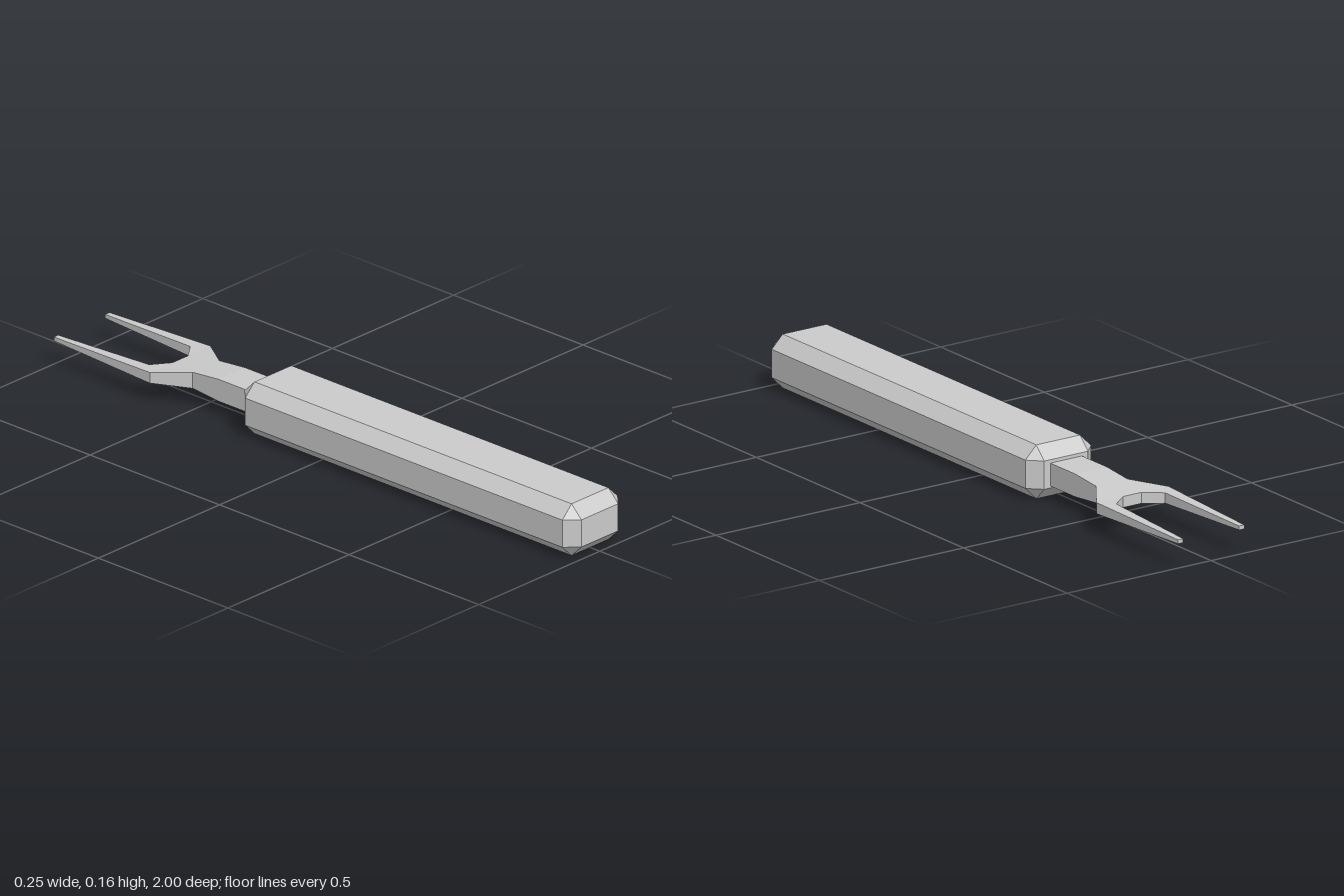
import * as THREE from 'three';
import { ConvexGeometry } from 'three/addons/geometries/ConvexGeometry.js';

const grey = new THREE.MeshStandardMaterial({ color: 0xcccccc, flatShading: true });

// Box with flat chamfers on every edge and triangular corners
function chamferedBox(hx, hy, hz, c) {
  const pts = [];
  for (const x of [-1, 1]) for (const y of [-1, 1]) for (const z of [-1, 1]) {
    pts.push(
      new THREE.Vector3(x * hx, y * (hy - c), z * (hz - c)),
      new THREE.Vector3(x * (hx - c), y * hy, z * (hz - c)),
      new THREE.Vector3(x * (hx - c), y * (hy - c), z * hz));
  }
  return new ConvexGeometry(pts);
}

// One half of the fork, lofted from neck to tip; side = 1 or -1
function forkHalf(side) {
  // z, inner x, outer x, half thickness
  const sections = [
    [-0.28, 0, 0.055, 0.034],
    [-0.42, 0, 0.055, 0.034],
    [-0.52, 0, 0.055, 0.025],
    [-0.62, 0, 0.125, 0.0165],
    [-0.62, 0.032, 0.125, 0.0165],
    [-0.66, 0.085, 0.124, 0.0155],
    [-1, 0.097, 0.115, 0.006],
  ];
  const midY = 0.078;
  const positions = [];
  const quad = (a, b, c, d) => {
    const order = side > 0 ? [a, b, c, a, c, d] : [a, c, b, a, d, c];
    for (const p of order) positions.push(...p);
  };
  // Corners: inner bottom, inner top, outer top, outer bottom
  const rings = sections.map(([z, xi, xo, h]) => [
    [side * xi, midY - h, z], [side * xi, midY + h, z],
    [side * xo, midY + h, z], [side * xo, midY - h, z],
  ]);
  for (let i = 0; i < rings.length - 1; i++) {
    const p = rings[i], q = rings[i + 1];
    const flatStep = sections[i][0] === sections[i + 1][0];
    if (!flatStep) {
      quad(p[1], p[2], q[2], q[1]); // top
      quad(q[0], q[3], p[3], p[0]); // bottom
      quad(p[3], q[3], q[2], p[2]); // outer wall
    }
    if (sections[i + 1][1] > 0) quad(p[0], p[1], q[1], q[0]); // inner wall
  }
  quad(...rings[rings.length - 1]); // tip
  const geo = new THREE.BufferGeometry();
  geo.setAttribute('position', new THREE.Float32BufferAttribute(positions, 3));
  geo.computeVertexNormals();
  return geo;
}

export function createModel() {
  const model = new THREE.Group();
  model.name = 'twoProngedFork';

  // Handle
  const handle = new THREE.Mesh(chamferedBox(0.114, 0.08, 0.65, 0.038), grey);
  handle.name = 'handle';
  handle.position.set(0, 0.08, 0.35);
  model.add(handle);

  // Neck and prongs, mirrored halves
  const fork = new THREE.Group();
  fork.name = 'fork';
  for (const side of [1, -1]) {
    const half = new THREE.Mesh(forkHalf(side), grey);
    half.name = side > 0 ? 'leftProng' : 'rightProng';
    fork.add(half);
  }
  model.add(fork);
  return model;
}
